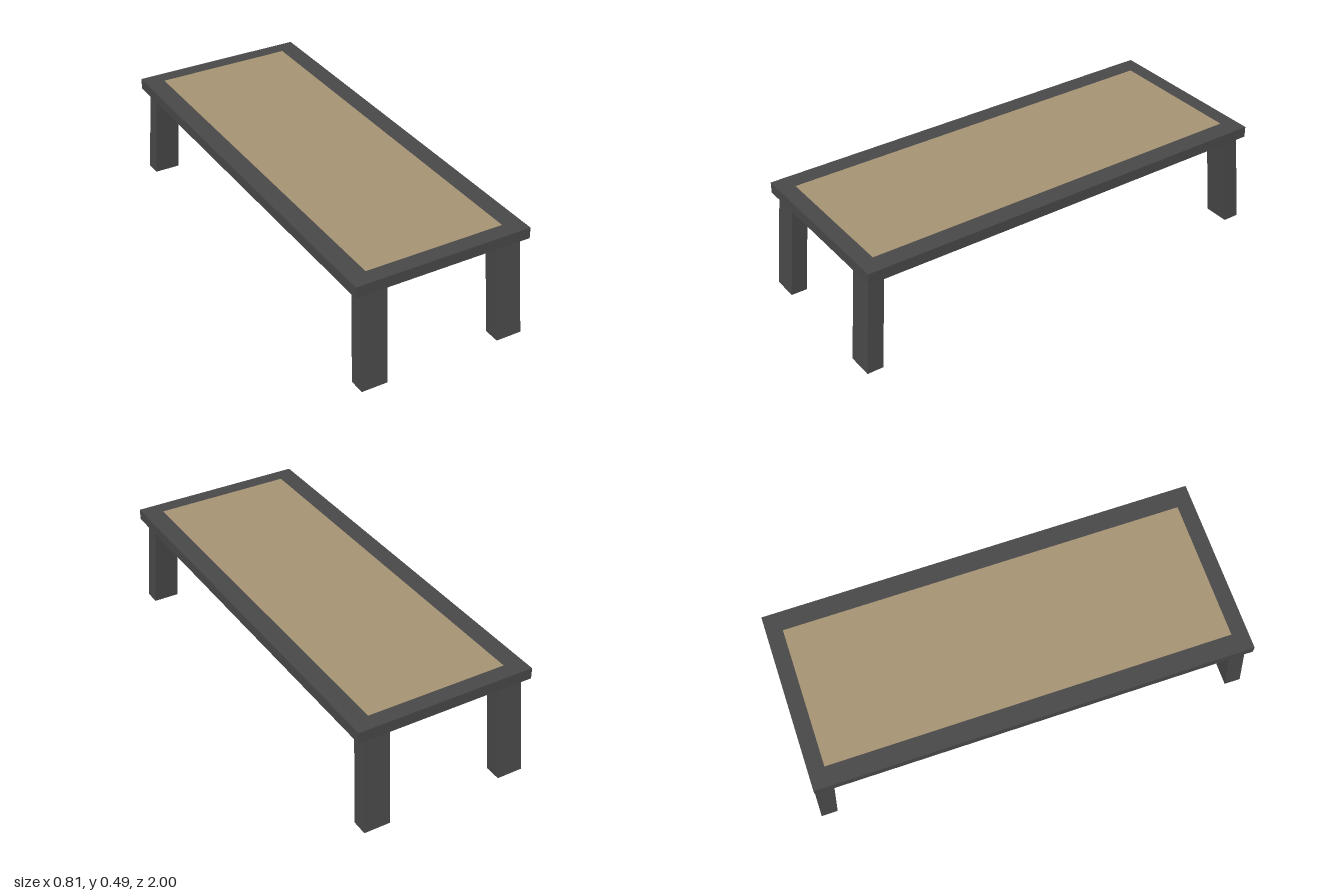
import * as THREE from 'three';

const TOP = 0.493, UNDER = 0.443;

export function createModel() {
  const table = new THREE.Group();
  table.name = 'lowTable';
  const dark = new THREE.MeshStandardMaterial({ color: 0x484848, flatShading: true });
  const tan = new THREE.MeshStandardMaterial({ color: 0xa69274, flatShading: true });

  const add = (name, geometry, material, x, y, z) => {
    const mesh = new THREE.Mesh(geometry, material);
    mesh.name = name;
    mesh.position.set(x, y, z);
    table.add(mesh);
    return mesh;
  };

  // Table top slab, which also shows as the border round the inlay
  add('tableTop', new THREE.BoxGeometry(0.81, TOP - UNDER, 1.954), dark, 0, (TOP + UNDER) / 2, 0);

  // Inlaid panel, a hair above the slab
  add('inlayPanel', new THREE.BoxGeometry(0.636, 0.004, 1.81), tan, 0, TOP - 0.001, 0);

  // Splayed legs: a box whose top and bottom ends have their own outlines
  const foot = { x: [0.264, 0.384], z: [0.926, 1.0] };
  const head = { x: [0.254, 0.369], z: [0.888, 0.96] };
  for (const sx of [1, -1]) {
    for (const sz of [1, -1]) {
      const geometry = new THREE.BoxGeometry(1, 1, 1);
      const p = geometry.attributes.position;
      for (let i = 0; i < p.count; i++) {
        const end = p.getY(i) > 0 ? head : foot;
        const outerX = p.getX(i) * sx > 0 ? 1 : 0;
        const outerZ = p.getZ(i) * sz > 0 ? 1 : 0;
        p.setXYZ(i, sx * end.x[outerX], p.getY(i) > 0 ? UNDER : 0, sz * end.z[outerZ]);
      }
      geometry.computeVertexNormals();
      add((sz > 0 ? 'front' : 'back') + (sx > 0 ? 'Left' : 'Right') + 'Leg', geometry, dark, 0, 0, 0);
    }
  }
  return table;
}
